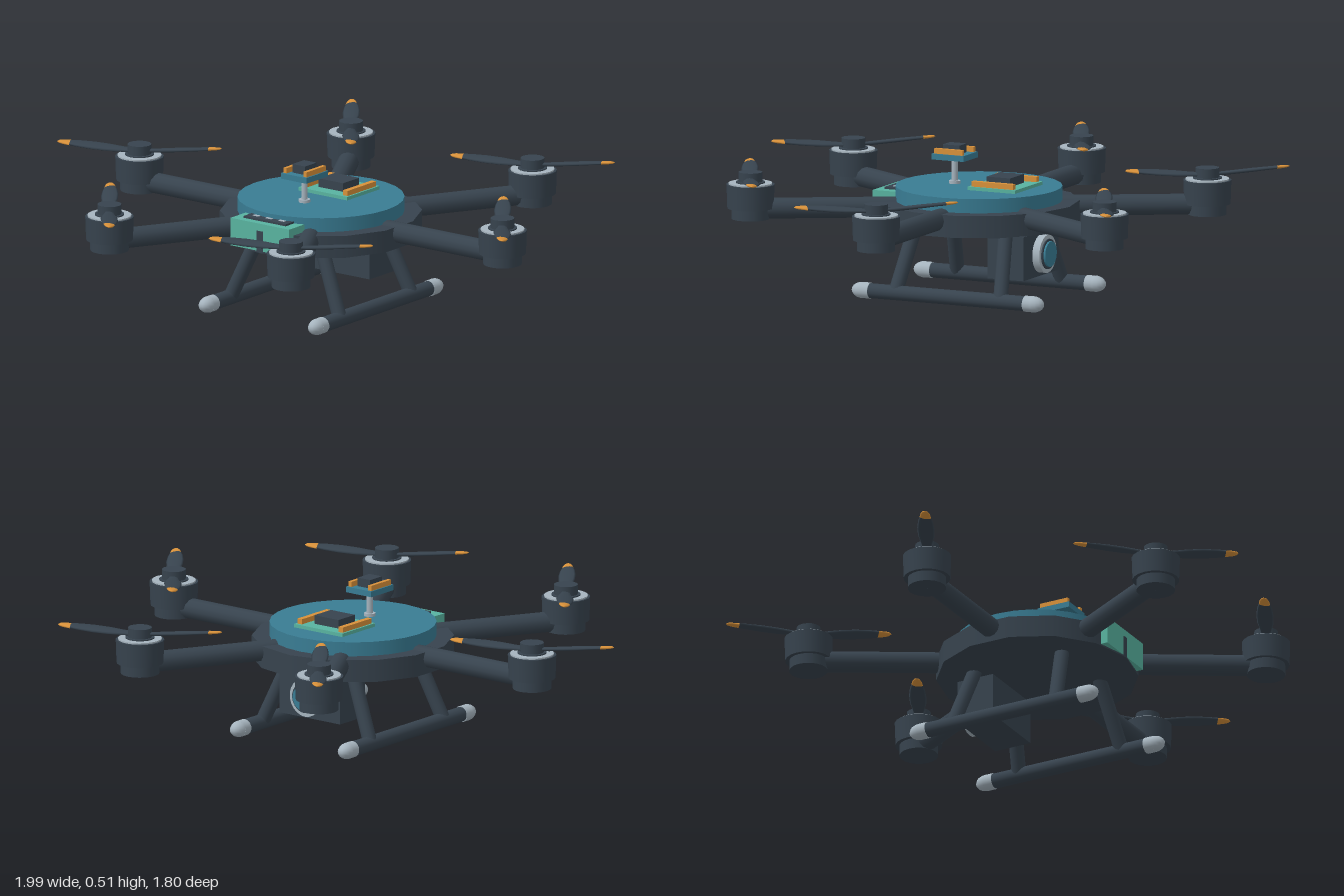
import * as THREE from 'three';

const mat = (name, color) => {
  const m = new THREE.MeshStandardMaterial({ color });
  m.name = name;
  return m;
};

export function createModel() {
  const dark = mat('charcoal', 0x37434e);
  const teal = mat('teal', 0x397c93);
  const mint = mat('mint', 0x58b3a0);
  const grey = mat('light grey', 0xa6b4be);
  const orange = mat('orange', 0xd8913a);

  const model = new THREE.Group();
  model.name = 'hexacopter';
  const body = new THREE.Group();
  body.name = 'body';
  body.position.x = 0.035;
  model.add(body);

  const add = (parent, name, geo, material, x = 0, y = 0, z = 0) => {
    const m = new THREE.Mesh(geo, material);
    m.name = name;
    m.position.set(x, y, z);
    parent.add(m);
    return m;
  };
  // box and upright cylinder given by their lower and upper heights
  const box = (p, name, material, w, d, y0, y1, x, z) =>
    add(p, name, new THREE.BoxGeometry(w, y1 - y0, d), material, x, (y0 + y1) / 2, z);
  const disc = (p, name, material, r, y0, y1, sides = 20, rLow = r) =>
    add(p, name, new THREE.CylinderGeometry(r, rLow, y1 - y0, sides), material, 0, (y0 + y1) / 2, 0);
  // round bar between two points
  const bar = (p, name, material, a, b, r, sides = 10) => {
    const d = b.clone().sub(a);
    const m = add(p, name, new THREE.CylinderGeometry(r, r, d.length(), sides), material);
    m.position.copy(a).addScaledVector(d, 0.5);
    m.quaternion.setFromUnitVectors(new THREE.Vector3(0, 1, 0), d.normalize());
    return m;
  };
  const V = (x, y, z) => new THREE.Vector3(x, y, z);

  // Blade skin through elliptical sections: [radius, half width, height, half thickness]
  const loft = (sections, sides = 10) => {
    const pos = [], idx = [];
    const pitch = 0.14;
    sections.forEach(([r, w, y, t], i) => {
      for (let j = 0; j < sides; j++) {
        const a = (j / sides) * Math.PI * 2;
        const u = Math.cos(a) * w, v = Math.sin(a) * t;
        pos.push(r, y + v * Math.cos(pitch) + u * Math.sin(pitch), u * Math.cos(pitch) - v * Math.sin(pitch));
        if (i < sections.length - 1) {
          const k = (j + 1) % sides, p = i * sides, q = p + sides;
          idx.push(p + j, q + j, p + k, q + j, q + k, p + k);
        }
      }
    });
    const g = new THREE.BufferGeometry();
    g.setAttribute('position', new THREE.Float32BufferAttribute(pos, 3));
    g.setIndex(idx);
    g.computeVertexNormals();
    return g;
  };
  const bladeGeo = loft([
    [0.02, 0.014, 0.413, 0.006], [0.06, 0.019, 0.415, 0.007], [0.11, 0.028, 0.419, 0.007],
    [0.16, 0.03, 0.423, 0.007], [0.21, 0.026, 0.427, 0.006], [0.24, 0.02, 0.429, 0.006],
  ]);
  const tipGeo = loft([
    [0.24, 0.02, 0.429, 0.006], [0.265, 0.016, 0.431, 0.005], [0.278, 0.01, 0.432, 0.004], [0.285, 0.0005, 0.432, 0.0005],
  ]);

  // Central plates
  disc(body, 'lowerPlate', dark, 0.345, 0.256, 0.333, 14);
  disc(body, 'upperPlate', teal, 0.285, 0.333, 0.382, 28);

  // Six arms with motors and propellers
  for (let i = 0; i < 6; i++) {
    const a = (i * Math.PI) / 3;
    const x = Math.cos(a) * 0.78, z = -Math.sin(a) * 0.675 / 0.866 / 1.0;
    bar(body, 'arm', dark, V(x * 0.2, 0.31, z * 0.2), V(x, 0.31, z), 0.036, 12);

    const motor = new THREE.Group();
    motor.name = 'motor';
    motor.position.set(x, 0, z);
    body.add(motor);
    disc(motor, 'motorBase', dark, 0.066, 0.275, 0.315);
    disc(motor, 'motorBell', dark, 0.083, 0.312, 0.394, 20, 0.08);
    disc(motor, 'motorRing', grey, 0.075, 0.39, 0.399);
    disc(motor, 'motorCap', dark, 0.05, 0.392, 0.403);
    disc(motor, 'propellerHub', dark, 0.041, 0.4, 0.436, 16);

    const propeller = new THREE.Group();
    propeller.name = 'propeller';
    propeller.rotation.y = i % 2 ? 0.48 : -0.92;
    motor.add(propeller);
    for (const turn of [0, Math.PI]) {
      add(propeller, 'blade', bladeGeo, dark).rotation.y = turn;
      add(propeller, 'bladeTip', tipGeo, orange).rotation.y = turn;
    }
  }

  // Landing gear
  for (const s of [-1, 1]) {
    const gear = new THREE.Group();
    gear.name = s > 0 ? 'leftSkid' : 'rightSkid';
    body.add(gear);
    const x = s * 0.235;
    bar(gear, 'skidTube', dark, V(x, 0.031, -0.31), V(x, 0.031, 0.31), 0.026, 14);
    for (const e of [-1, 1]) {
      bar(gear, 'strut', dark, V(x, 0.031, e * 0.2), V(s * 0.128, 0.275, e * 0.168), 0.025, 12);
      const cap = add(gear, 'skidCap', new THREE.SphereGeometry(0.028, 14, 10), grey, x, 0.031, e * 0.325);
      cap.scale.z = 1.43;
      bar(gear, 'skidSleeve', grey, V(x, 0.031, e * 0.295), V(x, 0.031, e * 0.328), 0.028, 14);
    }
  }

  // Camera slung under the rear
  const camera = new THREE.Group();
  camera.name = 'camera';
  body.add(camera);
  box(camera, 'cameraBody', dark, 0.265, 0.137, 0.088, 0.24, 0, -0.168);
  box(camera, 'cameraMount', dark, 0.1, 0.08, 0.235, 0.26, 0, -0.165);
  bar(camera, 'lensRing', grey, V(0, 0.165, -0.23), V(0, 0.165, -0.263), 0.066, 22);
  bar(camera, 'lensInnerRing', dark, V(0, 0.165, -0.25), V(0, 0.165, -0.268), 0.052, 22);
  bar(camera, 'lensGlass', teal, V(0, 0.165, -0.25), V(0, 0.165, -0.275), 0.044, 22);

  // Battery pack at the front with its connector
  box(body, 'battery', mint, 0.252, 0.13, 0.262, 0.359, 0, 0.277);
  box(body, 'connector', dark, 0.18, 0.05, 0.35, 0.366, 0, 0.29);
  for (const i of [-1, 0, 1]) box(body, 'connectorPin', grey, 0.025, 0.012, 0.36, 0.368, i * 0.055, 0.288);

  // Circuit board with a chip and two side strips
  const board = (name, material, w, d, y, z, h, chipW, chipD, strip) => {
    const g = new THREE.Group();
    g.name = name;
    g.position.set(0, y, z);
    body.add(g);
    box(g, 'board', material, w, d, 0, h, 0, 0);
    box(g, 'chip', dark, chipW, chipD, h, h + 0.03, 0, 0);
    for (const s of [-1, 1]) box(g, 'pinStrip', orange, strip, d * 0.88, h, h + 0.018, s * (w * 0.5 - strip * 0.85), 0);
  };
  board('controlBoard', mint, 0.21, 0.18, 0.382, -0.1, 0.012, 0.105, 0.09, 0.019);
  board('antennaBoard', teal, 0.11, 0.122, 0.468, 0.092, 0.02, 0.054, 0.064, 0.014);

  // Mast holding the raised board
  bar(body, 'mast', grey, V(0, 0.38, 0.092), V(0, 0.47, 0.092), 0.011, 12);
  bar(body, 'mastFoot', grey, V(0, 0.38, 0.092), V(0, 0.392, 0.092), 0.02, 12);

  return model;
}
